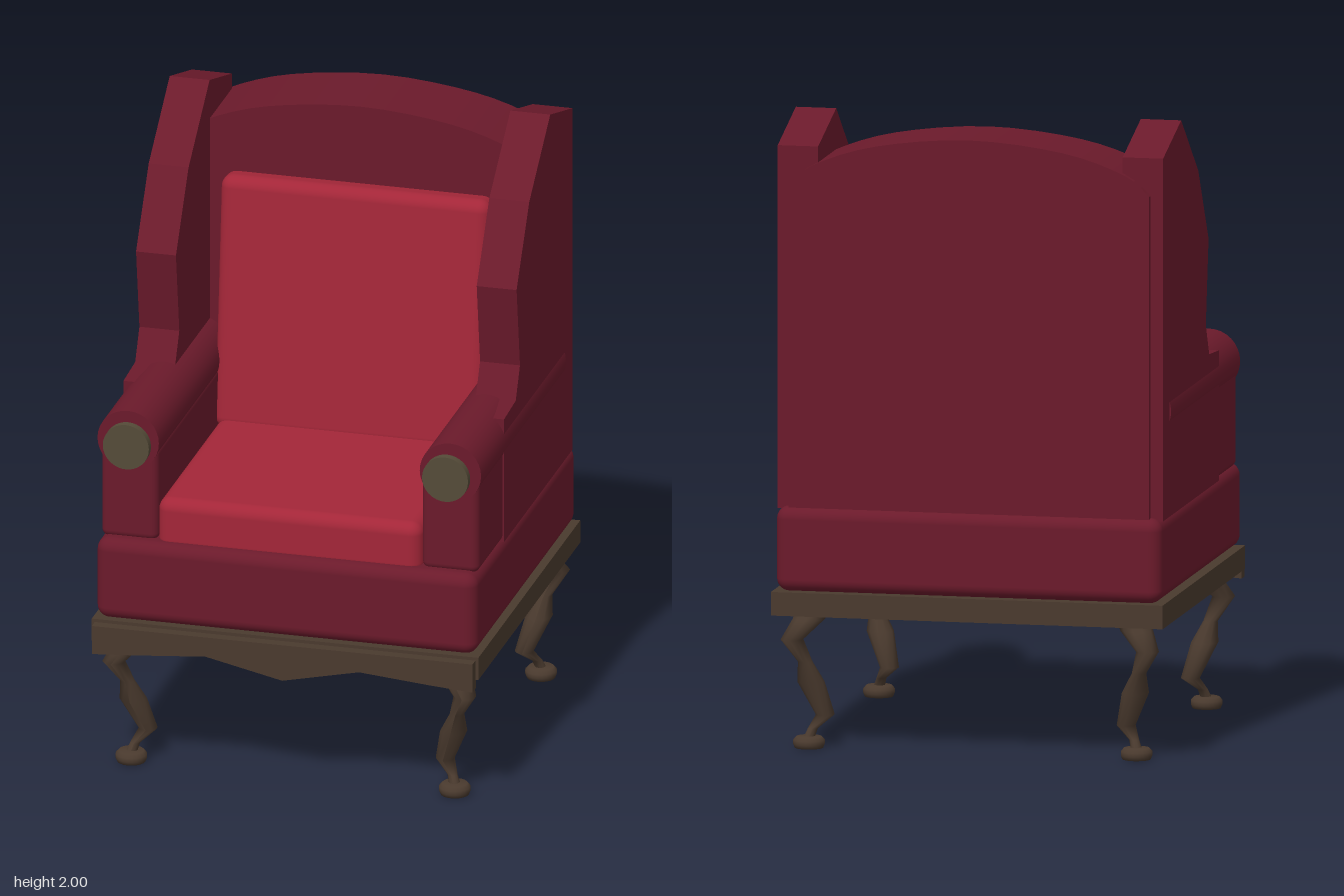
import * as THREE from 'three';
import { RoundedBoxGeometry } from 'three/addons/geometries/RoundedBoxGeometry.js';

const mat = (color, side = THREE.FrontSide) => new THREE.MeshStandardMaterial({ color, side });

export function createModel() {
  const chair = new THREE.Group();
  const upholstery = mat(0x6b1a2b), cushionCloth = mat(0xa32638);
  const wood = mat(0x4a3a2e), capWood = mat(0x554b38);

  const add = (name, geometry, material, x = 0, y = 0, z = 0) => {
    const mesh = new THREE.Mesh(geometry, material);
    mesh.name = name;
    mesh.position.set(x, y, z);
    chair.add(mesh);
    return mesh;
  };
  // Rounded block given by its lower and upper limits
  const block = (name, [x0, x1], [y0, y1], [z0, z1], radius, material) =>
    add(name, new RoundedBoxGeometry(x1 - x0, y1 - y0, z1 - z0, 4, radius), material,
      (x0 + x1) / 2, (y0 + y1) / 2, (z0 + z1) / 2);
  const extrude = (points, depth) => new THREE.ExtrudeGeometry(
    new THREE.Shape(points.map(p => new THREE.Vector2(...p))), { depth, bevelEnabled: false });

  // Wooden base frame and shaped front apron
  add('baseFrame', new THREE.BoxGeometry(1.26, 0.075, 1.21), wood, 0, 0.468, -0.015);
  add('frontApron', extrude([
    [-0.62, 0.495], [-0.62, 0.4], [-0.48, 0.41], [-0.25, 0.43], [0, 0.375],
    [0.25, 0.43], [0.48, 0.41], [0.62, 0.4], [0.62, 0.495],
  ], 0.04), wood, 0, 0, 0.585);

  // Upholstered seat base and cushions
  block('seatBase', [-0.62, 0.62], [0.505, 0.775], [-0.61, 0.59], 0.04, upholstery);
  block('seatCushion', [-0.43, 0.43], [0.74, 0.915], [-0.3, 0.55], 0.04, cushionCloth);
  const backCushion = block('backCushion', [-0.44, 0.44], [0.87, 1.7], [-0.39, -0.19], 0.04, cushionCloth);
  backCushion.rotation.x = -0.1;

  // Backrest with arched top
  const arch = new THREE.SplineCurve([
    [0.58, 1.8], [0.5, 1.865], [0.3, 1.93], [0, 1.96], [-0.3, 1.93], [-0.5, 1.865], [-0.58, 1.8],
  ].map(p => new THREE.Vector2(...p))).getPoints(24).map(p => [p.x, p.y]);
  add('backrest', extrude([[-0.58, 0.765], [0.58, 0.765], ...arch], 0.283), upholstery, 0, 0, -0.587);

  // Side wings: profile in z, y
  const wing = extrude([
    [-0.565, 0.765], [0.25, 0.765], [0.25, 1.18], [0.11, 1.19], [0.06, 1.29],
    [0.1, 1.56], [-0.05, 1.8], [-0.3, 2], [-0.565, 1.92],
  ], 0.13).rotateY(-Math.PI / 2).translate(0.065, 0, 0);
  // Arm rolls and end caps lie along z
  const roll = new THREE.CylinderGeometry(0.1, 0.1, 1.01, 32).rotateX(Math.PI / 2);
  const cap = new THREE.CylinderGeometry(0.075, 0.075, 0.026, 32).rotateX(Math.PI / 2);

  // Cabriole leg: rows of [height, outward offset, radius]
  const rows = [
    [0.44, -0.01, 0.052], [0.41, 0, 0.052], [0.35, 0.045, 0.036], [0.275, 0.01, 0.023],
    [0.21, -0.005, 0.043], [0.1, -0.043, 0.03], [0.06, -0.01, 0.016], [0.03, 0, 0.018],
  ];
  const legGeometry = (sx, sz) => {
    const sides = 10;
    const g = new THREE.CylinderGeometry(1, 1, 1, sides, rows.length - 1, true);
    const p = g.attributes.position;
    for (let i = 0; i < p.count; i++) {
      const [y, out, r] = rows[Math.floor(i / (sides + 1))];
      p.setXYZ(i, p.getX(i) * r + sx * out, y, p.getZ(i) * r + sz * out);
    }
    g.computeVertexNormals();
    return g;
  };
  const foot = new THREE.LatheGeometry([
    [0, 0], [0.045, 0], [0.05, 0.012], [0.05, 0.025], [0.04, 0.036], [0, 0.038],
  ].map(p => new THREE.Vector2(...p)), 20);

  for (const s of [1, -1]) {
    const side = s > 0 ? 'left' : 'right';
    add(side + 'Wing', wing, upholstery, s * 0.555);
    block(side + 'ArmPanel', s > 0 ? [0.43, 0.615] : [-0.615, -0.43], [0.765, 1.08], [-0.47, 0.54], 0.025, upholstery);
    add(side + 'ArmRoll', roll, upholstery, s * 0.525, 1.1, 0.035);
    add(side + 'ArmCap', cap, capWood, s * 0.52, 1.095, 0.573);
    for (const [end, sz, z] of [['Front', 1, 0.495], ['Back', -1, -0.53]]) {
      add(side + end + 'Leg', legGeometry(s, sz), wood, s * 0.527, 0, z);
      add(side + end + 'Foot', foot, wood, s * 0.527, 0, z);
    }
  }
  return chair;
}
